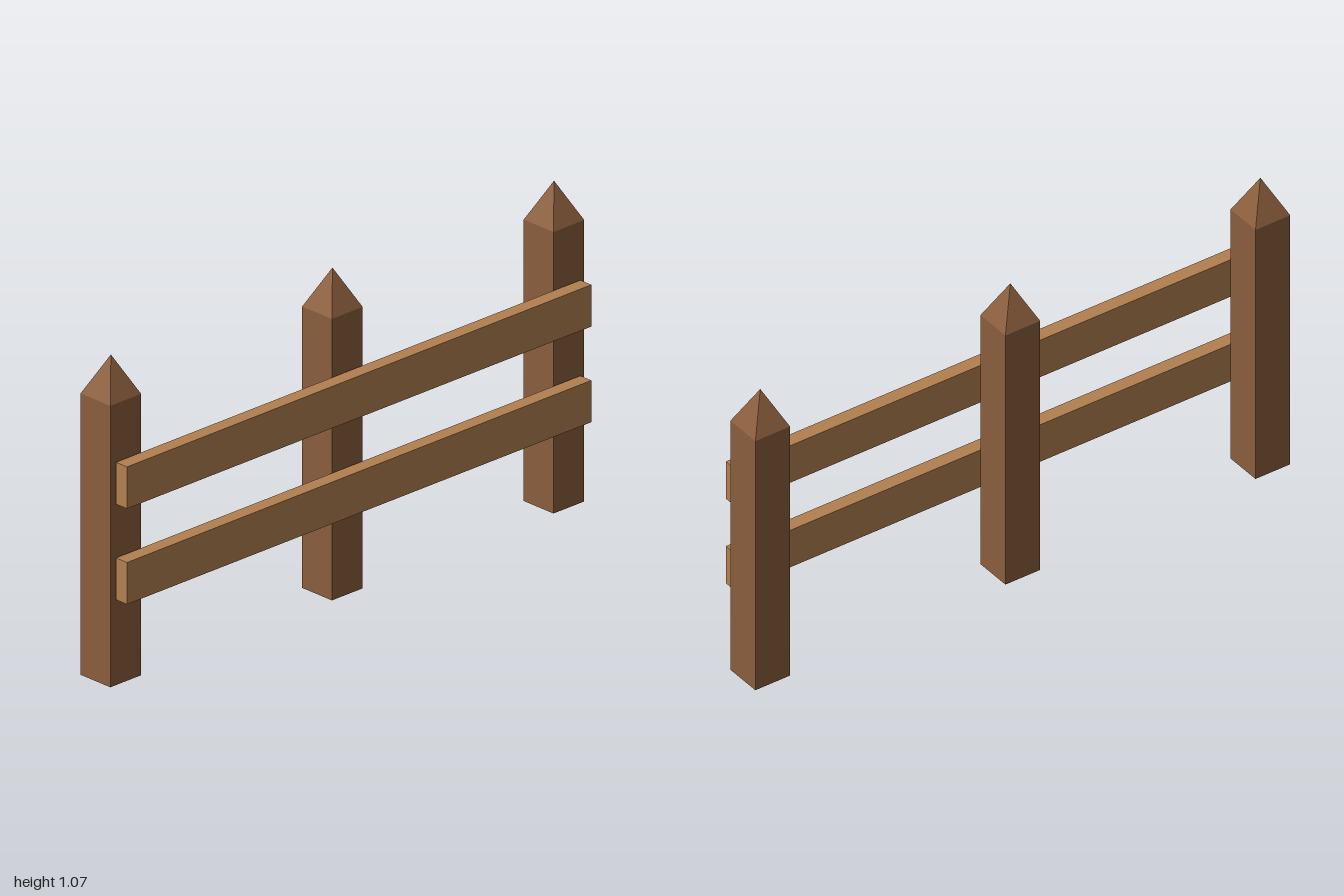
import * as THREE from 'three';

export function createModel() {
  const fence = new THREE.Group();
  fence.name = 'fence';

  const postWood = new THREE.MeshStandardMaterial({ color: 0x8b5e3c, flatShading: true });
  postWood.name = 'dark post wood';
  const railWood = new THREE.MeshStandardMaterial({ color: 0xb28050, flatShading: true });
  railWood.name = 'light rail wood';

  const postWidth = 0.13, shaftHeight = 0.936, tipHeight = 0.13;

  // Shared geometries: square shaft, four-sided point, flat board
  const shaftGeometry = new THREE.BoxGeometry(postWidth, shaftHeight, postWidth);
  shaftGeometry.translate(0, shaftHeight / 2, 0);
  const tipGeometry = new THREE.ConeGeometry(postWidth / Math.SQRT2, tipHeight, 4, 1, true);
  tipGeometry.rotateY(Math.PI / 4);
  tipGeometry.translate(0, shaftHeight + tipHeight / 2, 0);
  const railGeometry = new THREE.BoxGeometry(1.96, 0.139, 0.048);

  const addMesh = (parent, name, geometry, material) => {
    const mesh = new THREE.Mesh(geometry, material);
    mesh.name = name;
    parent.add(mesh);
    return mesh;
  };

  // Pointed posts
  for (const [side, x] of [['right', -0.935], ['middle', 0], ['left', 0.935]]) {
    const post = new THREE.Group();
    post.name = `${side}Post`;
    addMesh(post, `${side}PostShaft`, shaftGeometry, postWood);
    addMesh(post, `${side}PostTip`, tipGeometry, postWood);
    post.position.set(x, 0, -0.026);
    fence.add(post);
  }

  // Horizontal rails, just in front of the posts
  for (const [level, y] of [['lower', 0.356], ['upper', 0.674]]) {
    addMesh(fence, `${level}Rail`, railGeometry, railWood).position.set(0, y, 0.067);
  }

  return fence;
}
